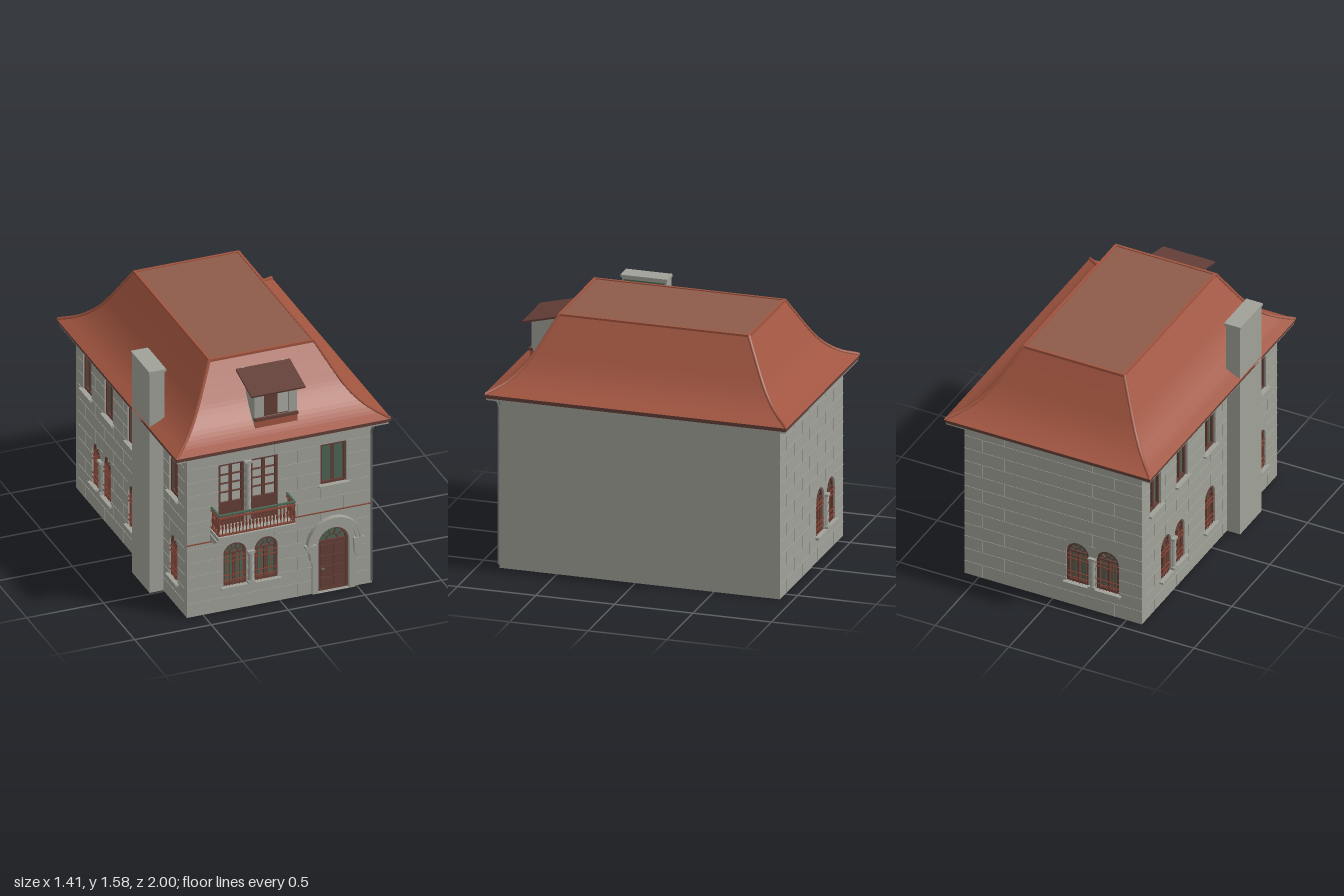
import * as THREE from 'three';

const mat = (name, color) => Object.assign(new THREE.MeshStandardMaterial({ color }), { name });
const M = {
  stone: mat('stone', 0xa0a198), tile: mat('roofTile', 0xa0543f), flat: mat('flatRoof', 0x8e5a49),
  brown: mat('darkWood', 0x633e37), glass: mat('greenGlass', 0x4b6655), pane: mat('palePane', 0xa9aaa2),
  iron: mat('redIron', 0x824436), pipe: mat('pipeGrey', 0x6a6d6c),
};

function add(parent, name, geo, m, x = 0, y = 0, z = 0) {
  const mesh = new THREE.Mesh(geo, m);
  mesh.name = name;
  mesh.position.set(x, y, z);
  parent.add(mesh);
  return mesh;
}
// Box given by its limits
const box = (p, name, m, x0, x1, y0, y1, z0, z1) =>
  add(p, name, new THREE.BoxGeometry(x1 - x0, y1 - y0, z1 - z0), m, (x0 + x1) / 2, (y0 + y1) / 2, (z0 + z1) / 2);
const extrude = (shape, depth) => new THREE.ExtrudeGeometry(shape, { depth, bevelEnabled: false, curveSegments: 16 });

// Outline of a rectangular or round-headed opening
function outline(o, inset = 0, Type = THREE.Shape) {
  const r = o.w / 2 - inset, s = new Type(), top = o.arch ? o.y1 - o.w / 2 : o.y1 - inset;
  s.moveTo(o.u - r, o.y0 + inset);
  s.lineTo(o.u + r, o.y0 + inset);
  s.lineTo(o.u + r, top);
  if (o.arch) s.absarc(o.u, top, r, 0, Math.PI, false);
  else s.lineTo(o.u - r, top);
  s.closePath();
  return s;
}

// Spiral-fluted column
function twistColumn(p, u, y0, y1) {
  const g = new THREE.CylinderGeometry(0.019, 0.019, y1 - y0 - 0.03, 18, 40);
  const a = g.attributes.position;
  for (let i = 0; i < a.count; i++) {
    const x = a.getX(i), z = a.getZ(i), k = 1 + 0.16 * Math.cos(3 * Math.atan2(z, x) + a.getY(i) * 110);
    a.setXYZ(i, x * k, a.getY(i), z * k);
  }
  g.computeVertexNormals();
  add(p, 'twistedColumn', g, M.stone, u, (y0 + y1) / 2, 0);
  for (const y of [y0, y1 - 0.015]) box(p, 'columnBlock', M.stone, u - 0.024, u + 0.024, y, y + 0.015, -0.02, 0.022);
}

// Frame, glazing and bars filling one opening; the wall surface is at z = 0
function fillOpening(p, o) {
  const g = new THREE.Group();
  g.name = o.kind;
  p.add(g);
  const x0 = o.u - o.w / 2, x1 = o.u + o.w / 2, spring = o.arch ? o.y1 - o.w / 2 : o.y1, F = 0.016;
  add(g, 'glass', new THREE.ShapeGeometry(outline(o), 16), o.kind === 'balconyDoor' ? M.pane : M.glass, 0, 0, -0.03);
  const frame = outline(o);
  frame.holes.push(outline(o, F, THREE.Path));
  add(g, 'frame', extrude(frame, 0.018), M.brown, 0, 0, -0.029);
  const bar = (a, b, c, d) => box(g, 'glazingBar', M.brown, a, b, c, d, -0.029, -0.016);
  if (o.arch) {
    // Fan of bars in the round head
    const R = o.w / 2;
    bar(x0, x1, spring - 0.004, spring + 0.006);
    for (let i = 1; i < 5; i++) {
      const a = i * Math.PI / 5;
      add(g, 'fanBar', new THREE.BoxGeometry(R * 0.6, 0.005, 0.008), M.brown,
        o.u + Math.cos(a) * R * 0.65, spring + Math.sin(a) * R * 0.65, -0.022).rotation.z = a;
    }
    add(g, 'fanRing', new THREE.TorusGeometry(R * 0.38, 0.004, 4, 16, Math.PI), M.brown, o.u, spring, -0.022);
  }
  if (o.kind === 'entrance') {
    // Door leaf with raised panels and a handle
    box(g, 'doorLeaf', M.brown, x0, x1, o.y0, spring, -0.03, -0.015);
    for (let i = 0; i < 2; i++) for (let j = 0; j < 4; j++)
      box(g, 'doorPanel', M.brown, x0 + 0.02 + i * 0.085, x0 + 0.095 + i * 0.085, 0.03 + j * 0.075, 0.09 + j * 0.075, -0.016, -0.009);
    box(g, 'doorHandle', M.pipe, x0 + 0.025, x0 + 0.045, 0.15, 0.156, -0.015, 0);
    return;
  }
  bar(o.u - 0.009, o.u + 0.009, o.y0, spring);
  if (o.kind === 'balconyDoor') {
    box(g, 'lowerPanel', M.brown, x0, x1, o.y0, 0.735, -0.029, -0.014);
    for (const y of [0.8, 0.86, 0.92]) bar(x0, x1, y, y + 0.006);
  }
  if (o.kind === 'archedWindow') {
    // Iron grille
    for (let i = 1; i < 7; i++) {
      const u = x0 + o.w * i / 7;
      box(g, 'grilleBar', M.iron, u - 0.002, u + 0.002, o.y0, spring, -0.008, -0.004);
    }
    for (const y of [0.2, 0.235, 0.33, 0.36]) box(g, 'grilleRail', M.iron, x0, x1, y, y + 0.005, -0.006, 0);
  }
}

// Pierced wall with its openings, sills and raised block joints
function facade(root, name, u0, u1, openings, sills, columns, x, z, ry) {
  const g = new THREE.Group();
  g.name = name;
  g.position.set(x, 0, z);
  g.rotation.y = ry;
  root.add(g);
  const wall = new THREE.Shape([[u0, 0], [u1, 0], [u1, 1.1], [u0, 1.1]].map(a => new THREE.Vector2(...a)));
  openings.forEach(o => wall.holes.push(outline(o, 0, THREE.Path)));
  add(g, 'wall', extrude(wall, 0.04), M.stone, 0, 0, -0.04);
  openings.forEach(o => fillOpening(g, o));
  sills.forEach(([a, b, y]) => {
    box(g, 'sill', M.stone, a, b, y - 0.012, y, -0.03, 0.022);
    box(g, 'sillMoulding', M.stone, a + 0.012, b - 0.012, y - 0.022, y - 0.012, 0, 0.012);
  });
  columns.forEach(c => twistColumn(g, ...c));
  const H = 1.1 / 12;
  for (let k = 0; k < 12; k++) {
    const y = k * H;
    const cuts = openings.filter(o => o.y0 - 0.02 < y && o.y1 + 0.01 > y).sort((a, b) => a.u - b.u);
    let s = u0;
    for (const o of [...cuts, { u: u1, w: 0 }]) {
      if (k && o.u - o.w / 2 > s + 0.02) box(g, 'courseJoint', M.stone, s, o.u - o.w / 2, y - 0.002, y + 0.002, 0, 0.003);
      s = o.u + o.w / 2;
    }
    for (let u = u0 + 0.12 + (k % 2) * 0.15; u < u1 - 0.05; u += 0.3)
      if (!openings.some(o => Math.abs(o.u - u) < o.w / 2 + 0.03 && o.y0 < y + H && o.y1 > y))
        box(g, 'blockJoint', M.stone, u - 0.002, u + 0.002, y, y + H, 0, 0.003);
  }
  return g;
}

const arched = (u, w = 0.152) => ({ kind: 'archedWindow', u, w, y0: 0.165, y1: 0.455, arch: true });
const upper = (u, w = 0.14) => ({ kind: 'upperWindow', u, w, y0: 0.735, y1: 1.01 });

function buildRoof(root) {
  const g = new THREE.Group();
  g.name = 'roof';
  root.add(g);
  // Flared profile: x is the inset from the eave, y the height
  const curve = new THREE.CatmullRomCurve3([[0, 1.14], [0.07, 1.172], [0.14, 1.222], [0.21, 1.305], [0.27, 1.41], [0.355, 1.57]]
    .map(([a, b]) => new THREE.Vector3(a, b, 0)));
  const ring = (i, y) => [[-0.695 + i, 0.925 - i], [0.695 - i, 0.925 - i], [0.695 - i, -0.99 + i], [-0.695 + i, -0.99 + i]]
    .map(([x, z]) => [x, y, z]);
  const rings = [], ROWS = 20;
  for (let r = 0; r < ROWS; r++) {
    const a = curve.getPointAt(r / ROWS), b = curve.getPointAt((r + 1) / ROWS);
    rings.push(ring(a.x - 0.006, a.y - 0.003), ring(b.x, b.y));
  }
  const pos = [];
  for (let r = 0; r < rings.length - 1; r++) for (let i = 0; i < 4; i++) {
    const j = (i + 1) % 4, [lo, up] = [rings[r], rings[r + 1]];
    pos.push(...lo[i], ...lo[j], ...up[j], ...lo[i], ...up[j], ...up[i]);
  }
  const geo = new THREE.BufferGeometry();
  geo.setAttribute('position', new THREE.Float32BufferAttribute(pos, 3));
  geo.computeVertexNormals();
  add(g, 'tileCourses', geo, M.tile);
  box(g, 'flatTop', M.flat, -0.335, 0.335, 1.555, 1.569, -0.63, 0.565);
  // Hip and rim tiles
  for (let c = 0; c < 4; c++) {
    const pts = [0, 0.2, 0.4, 0.6, 0.8, 1].map(t => {
      const p = curve.getPointAt(t);
      return new THREE.Vector3(...ring(p.x, p.y)[c]);
    });
    add(g, 'hipTiles', new THREE.TubeGeometry(new THREE.CatmullRomCurve3(pts), 24, 0.011, 6), M.tile);
  }
  for (const s of [-1, 1]) box(g, 'sideRim', M.tile, s * 0.337 - 0.008, s * 0.337 + 0.008, 1.555, 1.575, -0.64, 0.575);
  for (const z of [-0.635, 0.57]) box(g, 'endRim', M.tile, -0.345, 0.345, 1.555, 1.575, z - 0.008, z + 0.008);
  // Eave
  box(g, 'fascia', M.brown, -0.695, 0.695, 1.112, 1.139, -0.99, 0.925);
  box(g, 'soffit', M.stone, -0.69, 0.69, 1.1, 1.112, -0.985, 0.92);
  box(g, 'cornice', M.stone, -0.62, 0.615, 1.085, 1.1, -0.935, 0.88);
}

function buildDormer(root) {
  const g = new THREE.Group();
  g.name = 'dormer';
  root.add(g);
  const side = new THREE.Shape([[0.58, 1.2], [0.82, 1.2], [0.82, 1.43], [0.58, 1.49]].map(a => new THREE.Vector2(...a)));
  add(g, 'dormerBody', extrude(side, 0.275).rotateY(-Math.PI / 2), M.stone, 0.13);
  const roof = add(g, 'dormerRoof', new THREE.BoxGeometry(0.352, 0.012, 0.285), M.brown, -0.008, 1.463, 0.727);
  roof.rotation.x = 0.245;
  for (const x of [-0.137, 0.121]) box(g, 'roofHook', M.pane, x - 0.007, x + 0.007, 1.49, 1.502, 0.595, 0.615);
  box(g, 'dormerFrame', M.brown, -0.085, 0.075, 1.26, 1.412, 0.815, 0.824);
  box(g, 'dormerPane', M.pane, 0.002, 0.07, 1.268, 1.405, 0.82, 0.827);
  box(g, 'dormerSill', M.brown, -0.148, 0.133, 1.238, 1.255, 0.81, 0.838);
  box(g, 'dormerApron', M.tile, -0.145, 0.13, 1.185, 1.238, 0.8, 0.828);
}

function buildBalcony(root) {
  const g = new THREE.Group();
  g.name = 'balcony';
  root.add(g);
  box(g, 'balconySlab', M.stone, -0.455, 0.055, 0.558, 0.582, 0.86, 1);
  box(g, 'slabMoulding', M.stone, -0.445, 0.045, 0.545, 0.558, 0.86, 0.985);
  // Scrolled brackets
  const s = new THREE.Shape();
  s.moveTo(0.85, 0.5);
  s.lineTo(0.9, 0.502);
  s.bezierCurveTo(0.94, 0.505, 0.93, 0.54, 0.985, 0.546);
  s.lineTo(0.85, 0.546);
  for (const x of [-0.43, 0.05]) add(g, 'bracket', extrude(s, 0.025).rotateY(-Math.PI / 2), M.stone, x);
  // Railing on three sides
  const baluster = new THREE.LatheGeometry([[0.003, 0], [0.003, 0.03], [0.008, 0.05], [0.004, 0.08], [0.003, 0.125]]
    .map(a => new THREE.Vector2(...a)), 6);
  for (let i = 0; i <= 22; i++) add(g, 'baluster', baluster, M.iron, -0.445 + i * 0.49 / 22, 0.592, 0.99);
  for (const x of [-0.445, 0.045]) for (let i = 0; i < 5; i++) add(g, 'baluster', baluster, M.iron, x, 0.592, 0.885 + i * 0.022);
  for (const [y, h, m, name] of [[0.59, 0.008, M.iron, 'lowerRail'], [0.705, 0.008, M.iron, 'upperRail'], [0.724, 0.01, M.glass, 'handrail']]) {
    box(g, name, m, -0.45, 0.05, y, y + h, 0.983, 0.998);
    for (const x of [-0.445, 0.045]) box(g, name, m, x - 0.006, x + 0.006, y, y + h, 0.86, 0.983);
  }
}

// Stone door surround with arched hood and tapered brackets
function buildPortal(front) {
  const g = new THREE.Group();
  g.name = 'portal';
  front.add(g);
  const C = 0.348, Y = 0.335;
  const surround = outline({ u: C, w: 0.28, y0: 0, y1: Y + 0.14, arch: true });
  surround.holes.push(outline({ u: C, w: 0.2, y0: 0.001, y1: Y + 0.1, arch: true }, 0, THREE.Path));
  add(g, 'surround', extrude(surround, 0.012), M.stone);
  for (const [r0, r1, d] of [[0.14, 0.162, 0.025], [0.162, 0.178, 0.035]]) {
    const arc = new THREE.Shape();
    arc.absarc(C, Y, r1, 0, Math.PI, false);
    arc.absarc(C, Y, r0, Math.PI, 0, true);
    add(g, 'archHood', extrude(arc, d), M.stone);
  }
  for (const s of [-1, 1]) {
    const b = new THREE.Shape([[0.122, 0.345], [0.193, 0.345], [0.188, 0.325], [0.165, 0.29], [0.155, 0.235], [0.142, 0.22], [0.128, 0.25]]
      .map(([x, y]) => new THREE.Vector2(C + s * x, y)));
    add(g, 'hoodBracket', extrude(b, 0.032), M.stone);
  }
}

export function createModel() {
  const root = new THREE.Group();
  root.name = 'house';
  box(root, 'core', M.stone, -0.564, 0.6, 0, 1.1, -0.88, 0.825);

  const front = facade(root, 'frontWall', -0.605, 0.6, [
    arched(-0.292), arched(-0.088), upper(0.35, 0.17),
    { kind: 'balconyDoor', u: -0.314, w: 0.168, y0: 0.585, y1: 1.005 },
    { kind: 'balconyDoor', u: -0.1, w: 0.178, y0: 0.585, y1: 1.005 },
    { kind: 'entrance', u: 0.348, w: 0.2, y0: 0.004, y1: 0.435, arch: true },
  ], [[-0.387, 0.005, 0.165], [0.25, 0.45, 0.735]], [[-0.19, 0.165, 0.385], [-0.21, 0.585, 1.005]], 0, 0.865, 0);
  facade(root, 'backWall', -0.6, 0.605, [arched(0.168), arched(0.372)],
    [[0.075, 0.465, 0.165]], [[0.27, 0.165, 0.385]], 0, -0.92, Math.PI);
  facade(root, 'leftWall', -0.88, 0.825, [
    ...[-0.74, -0.39, -0.02, 0.65].map(u => upper(u)),
    ...[-0.6, -0.42, -0.02, 0.65].map(u => arched(u, 0.13)),
  ], [...[-0.74, -0.39, -0.02, 0.65].map(u => [u - 0.09, u + 0.09, 0.735]),
    [-0.685, -0.335, 0.165], [-0.105, 0.065, 0.165], [0.565, 0.735, 0.165]],
  [[-0.51, 0.165, 0.39]], -0.605, 0, -Math.PI / 2);
  buildPortal(front);
  buildBalcony(root);
  buildRoof(root);
  buildDormer(root);

  // Chimney stack
  box(root, 'chimney', M.stone, -0.695, -0.598, 0, 1.505, 0.203, 0.487);
  box(root, 'chimneyCap', M.stone, -0.7, -0.588, 1.503, 1.519, 0.197, 0.493);
  box(root, 'chimneyPanel', M.glass, -0.6, -0.594, 1.13, 1.49, 0.215, 0.475);

  // Wall cables and downpipe
  box(root, 'lowerCable', M.iron, -0.605, 0.065, 0.492, 0.497, 0.865, 0.873);
  box(root, 'upperCable', M.iron, 0.07, 0.59, 0.547, 0.552, 0.865, 0.873);
  const path = new THREE.CatmullRomCurve3([[0.592, 1.1, 0.905], [0.592, 1.08, 0.9], [0.594, 1.05, 0.876], [0.594, 0.98, 0.874], [0.594, 0.5, 0.874], [0.594, 0.02, 0.874]]
    .map(a => new THREE.Vector3(...a)));
  add(root, 'downpipe', new THREE.TubeGeometry(path, 40, 0.007, 8), M.pipe);
  return root;
}
